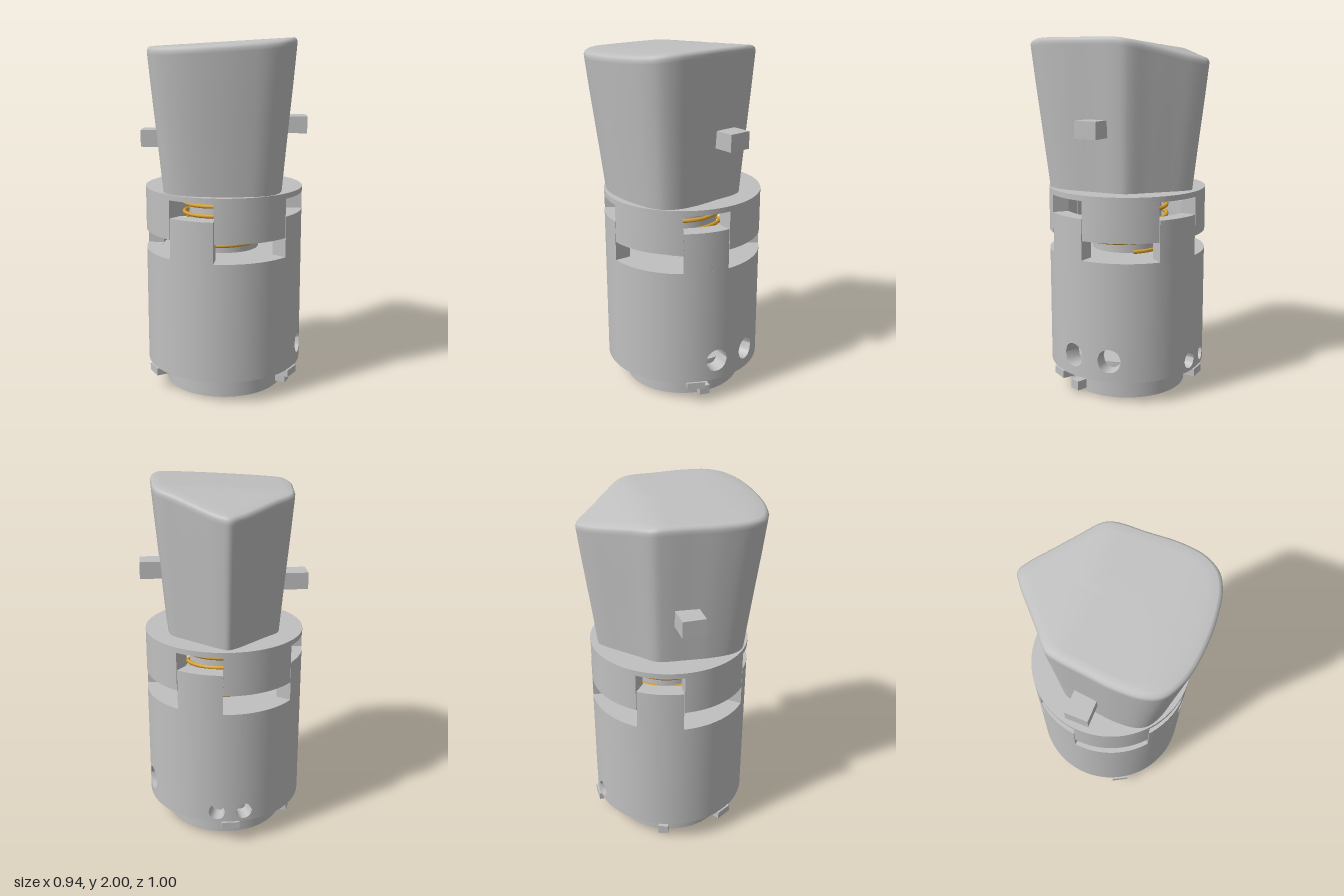
import * as THREE from 'three';
import { mergeGeometries, toCreasedNormals } from 'three/addons/utils/BufferGeometryUtils.js';

const RAD = Math.PI / 180;
const grey = new THREE.MeshStandardMaterial({ color: 0xc0c0c0 });
grey.name = 'light grey';
const gold = new THREE.MeshStandardMaterial({ color: 0xd9a02e });
gold.name = 'spring gold';

// Curved wall segment; angles in degrees from +z towards +x, lo and hi may vary with the angle
function curvedBlock(a0, a1, lo, hi, rIn, rOut) {
  const low = typeof lo === 'function' ? lo : () => lo;
  const high = typeof hi === 'function' ? hi : () => hi;
  const n = Math.max(12, Math.ceil((a1 - a0) / 3));
  const pos = [];
  const quad = (a, b, c, d) => pos.push(...a, ...b, ...c, ...a, ...c, ...d);
  const point = (r, deg, y) => [r * Math.sin(deg * RAD), y, r * Math.cos(deg * RAD)];
  const column = (deg) => ({
    ol: point(rOut, deg, low(deg)), oh: point(rOut, deg, high(deg)),
    il: point(rIn, deg, low(deg)), ih: point(rIn, deg, high(deg)),
  });
  for (let i = 0; i < n; i++) {
    const a = column(a0 + (a1 - a0) * i / n);
    const b = column(a0 + (a1 - a0) * (i + 1) / n);
    quad(a.ol, b.ol, b.oh, a.oh);
    quad(b.il, a.il, a.ih, b.ih);
    quad(a.oh, b.oh, b.ih, a.ih);
    quad(a.il, b.il, b.ol, a.ol);
    if (a1 - a0 < 360) {
      if (i === 0) quad(a.il, a.ol, a.oh, a.ih);
      if (i === n - 1) quad(b.ol, b.il, b.ih, b.oh);
    }
  }
  const geo = new THREE.BufferGeometry();
  geo.setAttribute('position', new THREE.Float32BufferAttribute(pos, 3));
  return geo;
}

// Tapered head: outline rings lofted upwards, then closed over a sloping top
function headGeometry() {
  const outline = [
    [0.01, -0.5], [0.07, -0.468], [0.17, -0.378], [0.27, -0.285], [0.365, -0.195], [0.387, -0.13],
    [0.393, 0.03], [0.4, 0.2], [0.38, 0.34], [0.33, 0.425], [0.25, 0.47], [0.14, 0.492], [0, 0.5],
    [-0.16, 0.487], [-0.27, 0.455], [-0.35, 0.405], [-0.39, 0.33], [-0.402, 0.18], [-0.387, 0.02],
    [-0.37, -0.125], [-0.35, -0.19], [-0.25, -0.283], [-0.15, -0.376], [-0.06, -0.458],
  ].map(([x, z]) => new THREE.Vector3(x, 0, z));
  const n = 120;
  const loop = new THREE.CatmullRomCurve3(outline, true).getPoints(n).slice(0, n);
  const topY = (x, z) => 1.976 + 0.06 * x
    - 0.09 * THREE.MathUtils.smoothstep(-z, 0.1, 0.56) - 0.015 * THREE.MathUtils.smoothstep(z, 0.3, 0.55);
  // [scale, height fraction, drop below the top surface]
  const rings = [
    [0.82, 0, 0], [0.865, 0.25, 0.01], [0.91, 0.5, 0.02], [0.955, 0.75, 0.03], [0.995, 1, 0.04], [0.998, 1, 0.022],
    [0.985, 1, 0.008], [0.955, 1, 0], [0.85, 1, 0], [0.7, 1, 0], [0.5, 1, 0], [0.3, 1, 0], [0.1, 1, 0],
  ];
  const pos = [], index = [];
  for (const [s, t, drop] of rings) {
    for (const p of loop) {
      const x = p.x * s, z = p.z * s;
      const top = topY(t < 1 ? p.x : x, t < 1 ? p.z : z) - drop;
      pos.push(x, 1.165 + (top - 1.165) * t, z);
    }
  }
  // The outline runs from the back through +x, so rings join in this order
  for (let r = 0; r < rings.length - 1; r++) {
    for (let i = 0; i < n; i++) {
      const j = (i + 1) % n, a = r * n + i, b = r * n + j, c = a + n, d = b + n;
      index.push(a, c, b, b, c, d);
    }
  }
  const last = (rings.length - 1) * n, centre = pos.length / 3;
  pos.push(0, topY(0, 0), 0);
  for (let i = 0; i < n; i++) index.push(last + i, centre, last + (i + 1) % n);
  const geo = new THREE.BufferGeometry();
  geo.setAttribute('position', new THREE.Float32BufferAttribute(pos, 3));
  geo.setIndex(index);
  geo.computeVertexNormals();
  return geo;
}

export function createModel() {
  const model = new THREE.Group();
  const add = (name, geo, mat, x = 0, y = 0, z = 0) => {
    const mesh = new THREE.Mesh(geo, mat);
    mesh.name = name;
    mesh.position.set(x, y, z);
    model.add(mesh);
    return mesh;
  };
  const addWalls = (name, blocks) => add(name, toCreasedNormals(mergeGeometries(blocks), 0.5), grey);
  const R = 0.45, RI = 0.36;

  // Lower barrel with round holes on the side and back
  const holes = [
    { at: 76, y: 0.255, r: 0.067 }, { at: 105, y: 0.255, r: 0.067 },
    { at: 170, y: 0.2, r: 0.047 }, { at: 190, y: 0.2, r: 0.047 },
  ];
  const barrel = [curvedBlock(0, 360, 0.135, 0.147, 0.33, 0.37)];
  let from = 0;
  for (const { at, y, r } of holes) {
    const half = Math.asin(r / R) / RAD;
    const chord = (a) => Math.sqrt(Math.max(0, r * r - (R * Math.sin((a - at) * RAD)) ** 2));
    barrel.push(curvedBlock(from, at - half, 0.135, 0.81, RI, R));
    barrel.push(curvedBlock(at - half, at + half, 0.135, (a) => y - chord(a), RI, R));
    barrel.push(curvedBlock(at - half, at + half, (a) => y + chord(a), 0.81, RI, R));
    from = at + half;
  }
  barrel.push(curvedBlock(from, 360, 0.135, 0.81, RI, R));

  // Interlocking teeth of the barrel and the upper collar
  const collar = [];
  for (let k = 0; k < 4; k++) {
    const a = k * 90;
    barrel.push(curvedBlock(a - 39, a - 5.5, 0.81, 1.04, RI, R));
    collar.push(curvedBlock(a - 5, a + 50.5, 0.92, 1.14, RI, R));
  }
  addWalls('barrel', barrel);
  addWalls('collarTeeth', collar);
  add('collarDisc', new THREE.CylinderGeometry(R, R, 0.03, 120), grey, 0, 1.155, 0);

  // Inner floors and shaft
  add('lowerFloor', new THREE.CylinderGeometry(RI, RI, 0.01, 96), grey, 0, 0.215, 0);
  add('upperFloor', new THREE.CylinderGeometry(0.37, 0.37, 0.03, 96), grey, 0, 0.794, 0);
  add('shaft', new THREE.CylinderGeometry(0.2, 0.2, 0.36, 64), grey, 0, 0.97, 0);

  // Hollow neck at the foot
  addWalls('neck', [curvedBlock(0, 360, 0, 0.212, 0.315, 0.34)]);

  // Coil spring around the shaft and the contact pin below
  const coil = [];
  const turns = 5.5;
  for (let i = 0; i <= turns * 16; i++) {
    const a = i / 16 * Math.PI * 2 + 2.2;
    coil.push(new THREE.Vector3(0.23 * Math.sin(a), 0.82 + 0.31 * i / (turns * 16), 0.23 * Math.cos(a)));
  }
  add('spring', new THREE.TubeGeometry(new THREE.CatmullRomCurve3(coil), 260, 0.011, 8), gold);
  add('contactPin', new THREE.BoxGeometry(0.05, 0.45, 0.05), gold, 0, 0.355, 0);

  // Locking tabs around the neck
  const tab = (name, deg, radius, y, width, height, depth) => {
    const a = deg * RAD;
    add(name, new THREE.BoxGeometry(width, height, depth), grey,
      radius * Math.sin(a), y, radius * Math.cos(a)).rotation.y = a;
  };
  for (const deg of [60, 180, 300]) tab('upperTab', deg, 0.4, 0.116, 0.1, 0.042, 0.12);
  for (const deg of [69, 249]) tab('lowerTab', deg, 0.36, 0.045, 0.06, 0.054, 0.08);

  // Head with a peg on each side
  add('head', headGeometry(), grey);
  add('leftPeg', new THREE.BoxGeometry(0.17, 0.095, 0.13), grey, 0.385, 1.52, 0);
  add('rightPeg', new THREE.BoxGeometry(0.17, 0.095, 0.13), grey, -0.385, 1.44, 0);

  return model;
}
